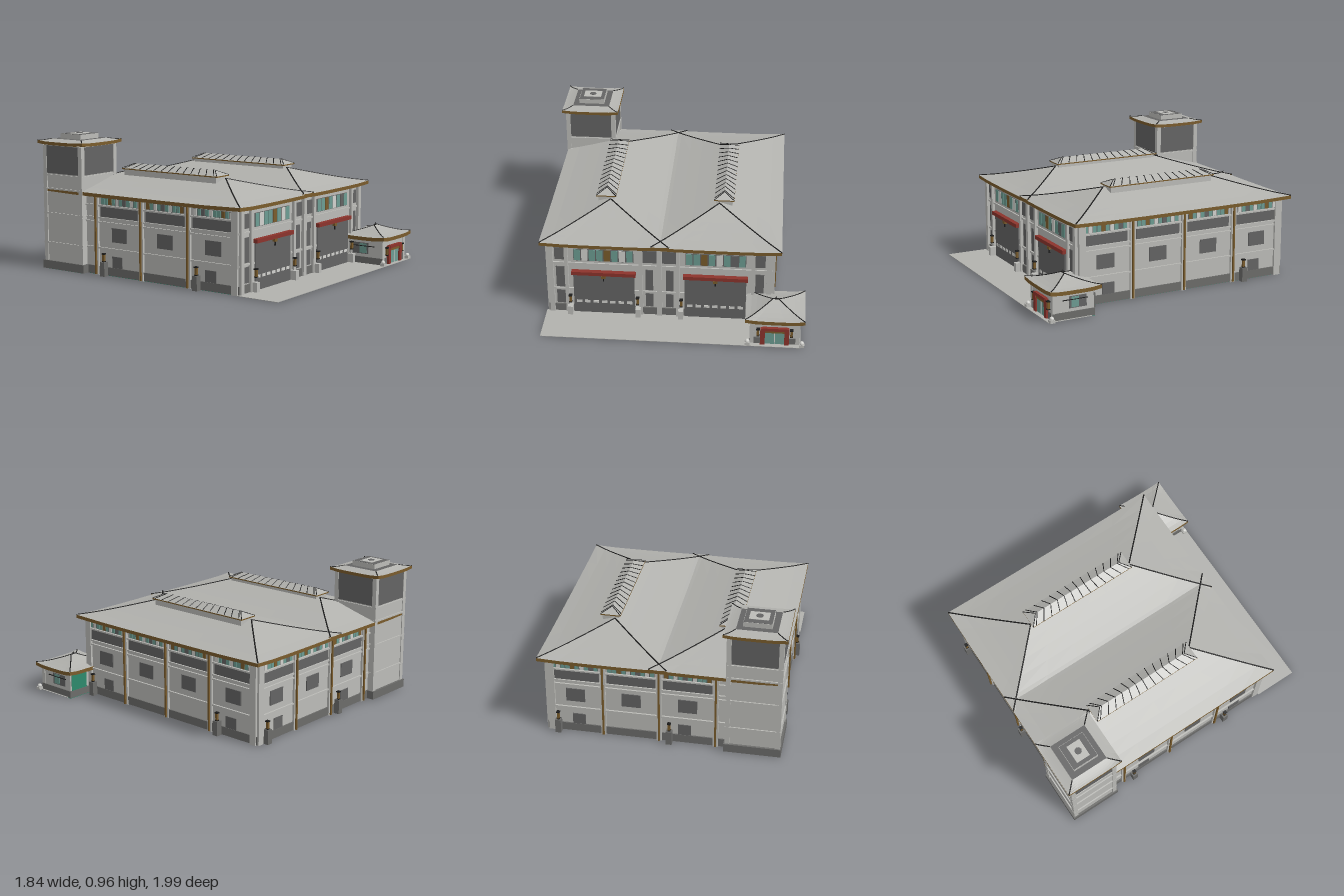
import * as THREE from 'three';

const M = {};
const COLORS = {
  wall: 0xbcbcb8, roofGrey: 0xb2b2ae, darkPanel: 0x646464, plinthGrey: 0x6c6c6a, bronze: 0x7a5c2c,
  red: 0x8c342c, glass: 0x6c9c92, green: 0x2e8a6c, black: 0x1c1c1c, pale: 0xd2d2ce,
};

function box(parent, name, mat, w, h, d, x, y, z) {
  const m = new THREE.Mesh(new THREE.BoxGeometry(w, h, d), M[mat]);
  m.name = name;
  m.position.set(x, y + h / 2, z); // y is the underside
  parent.add(m);
  return m;
}

function group(parent, name, x = 0, y = 0, z = 0, ry = 0) {
  const g = new THREE.Group();
  g.name = name;
  g.position.set(x, y, z);
  g.rotation.y = ry;
  parent.add(g);
  return g;
}

// Rectangular ring whose corners turn up by lift
function ring(hx, hz, y, lift = 0, n = 6) {
  const c = [[-1, 1], [1, 1], [1, -1], [-1, -1]], pts = [];
  for (let k = 0; k < 4; k++) {
    const a = c[k], b = c[(k + 1) % 4];
    for (let i = 0; i < n; i++) {
      const t = i / n, s = 2 * t - 1;
      pts.push(new THREE.Vector3((a[0] + (b[0] - a[0]) * t) * hx, y + lift * s ** 4, (a[1] + (b[1] - a[1]) * t) * hz));
    }
  }
  return pts;
}

function loft(parent, name, mat, rings) {
  const v = [];
  for (let r = 0; r + 1 < rings.length; r++) {
    const A = rings[r], B = rings[r + 1];
    for (let i = 0; i < A.length; i++) {
      const j = (i + 1) % A.length;
      for (const p of [A[i], A[j], B[j], A[i], B[j], B[i]]) v.push(p.x, p.y, p.z);
    }
  }
  const g = new THREE.BufferGeometry();
  g.setAttribute('position', new THREE.Float32BufferAttribute(v, 3));
  g.computeVertexNormals();
  const m = new THREE.Mesh(g, M[mat]);
  m.name = name;
  parent.add(m);
}

function line(parent, name, pts, r) {
  const path = new THREE.CatmullRomCurve3(pts);
  const m = new THREE.Mesh(new THREE.TubeGeometry(path, pts.length > 2 ? 10 : 1, r, 5), M.black);
  m.name = name;
  parent.add(m);
}

// Flared hip roof with bronze fascia and black hip ribs
function hipRoof(g, o) {
  const { hx, hz, rx, rz, y0, y1, edge, soffit, lift = 0, power = 1.2, rib = 0.005 } = o;
  const rings = [];
  for (let i = 0; i <= 5; i++) {
    const t = i / 5;
    rings.push(ring(hx + (rx - hx) * t, hz + (rz - hz) * t, y0 + (y1 - y0) * t ** power, lift * (1 - t) ** 3));
  }
  loft(g, 'roofTiles', 'roofGrey', rings);
  loft(g, 'roofFascia', 'bronze', [ring(hx - soffit, hz - soffit, y0 - edge), ring(hx, hz, y0 - edge, lift), rings[0]]);
  for (let k = 0; k < 4; k++) line(g, 'hipRib', rings.map(r => r[k * 6].clone()), rib);
}

function lamp(parent, x, z, y = 0.1) {
  const g = group(parent, 'lamp', x, y, z);
  box(g, 'lampBody', 'bronze', 0.016, 0.05, 0.016, 0, 0.004, 0);
  box(g, 'lampCap', 'black', 0.024, 0.008, 0.024, 0, 0.052, 0);
  box(g, 'lampFoot', 'black', 0.02, 0.006, 0.02, 0, 0, 0);
}

const PANES = ['glass', 'pale', 'glass', 'glass', 'bronze', 'glass', 'pale', 'glass', 'darkPanel'];
function paneStrip(g, x, y, w, h, z, n, shift = 0) {
  box(g, 'windowFrame', 'darkPanel', w, h, 0.006, x, y, z);
  const s = w / n;
  for (let i = 0; i < n; i++)
    box(g, 'windowPane', PANES[(i + shift) % PANES.length], s * 0.84, h * 0.94, 0.006, x - w / 2 + s * (i + 0.5), y + h * 0.03, z + 0.003);
}

// Bayed facade: local x runs along the wall, local +z faces outwards
function facade(g, length, skip, doors) {
  const s = length / 4;
  for (const y of [0.185, 0.365, 0.395, 0.48]) box(g, 'wallBand', 'wall', length, 0.011, 0.016, 0, y, 0.004);
  for (let i = 0; i <= 4; i++) {
    const x = -length / 2 + s * i, end = i % 4 === 0;
    box(g, 'pilaster', 'wall', end ? 0.05 : 0.035, 0.55, 0.024, x + (i === 0 ? 0.025 : i === 4 ? -0.025 : 0), 0, 0.004);
    if (!end) box(g, 'downpipe', 'bronze', 0.012, 0.545, 0.012, x, 0.005, 0.021);
  }
  for (let i = 0; i < 4; i++) {
    if (i === skip) continue;
    const x = -length / 2 + s * (i + 0.5);
    box(g, 'louvrePanel', 'darkPanel', 0.33, 0.07, 0.008, x, 0.408, 0.001);
    paneStrip(g, x, 0.495, 0.32, 0.045, 0.001, 10, i * 2);
    box(g, 'window', 'darkPanel', 0.13, 0.098, 0.009, x, 0.24, 0.002);
    if (doors.includes(i)) {
      const e = i === 0 ? 1 : -1;
      box(g, 'hatch', 'darkPanel', 0.088, 0.08, 0.009, x + 0.02 * e, 0.06, 0.002);
      box(g, 'lampPlinth', 'plinthGrey', 0.04, 0.1, 0.04, x - 0.12, 0, 0.03);
      lamp(g, x - 0.12, 0.03);
    }
  }
}

export function createModel() {
  for (const [name, c] of Object.entries(COLORS)) {
    M[name] = new THREE.MeshStandardMaterial({ color: c });
    M[name].name = name;
  }
  const root = new THREE.Group();
  root.name = 'station';
  const CX = -0.075, CZ = -0.115, W = 1.53, D = 1.59;

  // Ground slabs and floors
  box(root, 'apron', 'roofGrey', 1.76, 0.003, 0.31, 0.015, 0.003, 0.84);
  box(root, 'mainFloor', 'green', W, 0.004, D, CX, 0, CZ);
  box(root, 'annexFloor', 'green', 0.335, 0.003, 0.3, 0.718, 0, 0.81);

  // Main hall
  box(root, 'hallWalls', 'wall', W, 0.555, D, CX, 0.004, CZ);
  box(root, 'hallPlinth', 'plinthGrey', W + 0.018, 0.057, D + 0.018, CX, 0.004, CZ);
  facade(group(root, 'leftFacade', CX + W / 2, 0, CZ, Math.PI / 2), D, -1, [0, 3]);
  facade(group(root, 'rightFacade', CX - W / 2, 0, CZ, -Math.PI / 2), D, 0, [1, 3]);
  facade(group(root, 'backFacade', CX, 0, CZ - D / 2, Math.PI), W, 3, [0, 2]);

  // Front facade: mirrored engine bays
  const front = group(root, 'frontFacade', -0.078, 0, CZ + D / 2);
  for (const y of [0.185, 0.395]) box(front, 'frontBand', 'wall', W, 0.012, 0.016, 0, y, 0.002);
  box(front, 'centrePilaster', 'wall', 0.034, 0.55, 0.03, 0, 0, 0.008);
  for (const s of [-1, 1]) {
    const x = s * 0.382;
    box(front, 'bayDoor', 'darkPanel', 0.42, 0.32, 0.009, x, 0.005, 0.01);
    for (let i = 0; i < 7; i++) box(front, 'doorWindow', 'pale', 0.038, 0.02, 0.006, x + (i - 3) * 0.058, 0.087, 0.014);
    box(front, 'doorLintel', 'red', 0.44, 0.026, 0.04, x, 0.322, 0.015);
    box(front, 'lintelBell', 'bronze', 0.03, 0.02, 0.02, x, 0.303, 0.027);
    box(front, 'bellPull', 'black', 0.008, 0.03, 0.008, x, 0.277, 0.027);
    paneStrip(front, x, 0.425, 0.41, 0.092, 0.003, 8, s + 1);
    for (const e of [-1, 1]) {
      box(front, 'doorBollard', 'wall', 0.036, 0.07, 0.05, x + e * 0.235, 0, 0.03);
      box(front, 'doorJamb', 'wall', 0.024, 0.55, 0.026, x + e * 0.255, 0, 0.008);
      lamp(front, x + e * 0.232, 0.035);
    }
    box(front, 'cornerPilaster', 'wall', 0.035, 0.55, 0.026, s * 0.744, 0, 0.008);
    for (const [px, w, wTop] of [[0.07, 0.052, 0.104], [0.682, 0.058, 0.07]]) {
      box(front, 'upperPanel', 'darkPanel', wTop, 0.095, 0.008, s * px, 0.428, 0.002);
      box(front, 'middlePanel', 'darkPanel', w, 0.165, 0.008, s * px, 0.204, 0.002);
      box(front, 'lowerPanel', 'darkPanel', w, 0.105, 0.008, s * px, 0.07, 0.002);
    }
  }

  // Twin hip roofs with ridge lanterns
  for (const s of [-1, 1]) {
    const roof = group(root, 'hallRoof', CX + 0.003 + s * 0.378, 0, CZ - 0.002);
    hipRoof(roof, { hx: 0.44, hz: 0.843, rx: 0, rz: 0.415, y0: 0.573, y1: 0.69, edge: 0.024, soffit: 0.06, lift: 0.008, power: 1.12 });
    const lantern = group(roof, 'ridgeLantern', s * 0.032, 0, 0);
    box(lantern, 'lanternWalls', 'wall', 0.115, 0.06, 0.8, 0, 0.646, 0);
    hipRoof(lantern, { hx: 0.07, hz: 0.415, rx: 0, rz: 0.35, y0: 0.713, y1: 0.745, edge: 0.008, soffit: 0.02, power: 1.05, rib: 0.003 });
    for (let i = -6; i <= 6; i++) for (const e of [-1, 1])
      line(lantern, 'lanternRib', [new THREE.Vector3(e * 0.07, 0.714, i * 0.065), new THREE.Vector3(0, 0.746, i * 0.056)], 0.003);
  }

  // Hose tower
  const tower = group(root, 'tower', -0.71, 0, -0.783);
  box(tower, 'towerFloor', 'green', 0.36, 0.004, 0.35, 0, 0, 0);
  box(tower, 'towerWalls', 'wall', 0.355, 0.88, 0.345, 0, 0.004, 0);
  box(tower, 'towerPlinth', 'plinthGrey', 0.385, 0.058, 0.378, 0, 0.004, 0);
  for (const y of [0.185, 0.395, 0.57, 0.665]) box(tower, 'towerBand', 'wall', 0.372, 0.012, 0.362, 0, y, 0);
  for (const a of [-1, 1]) for (const b of [-1, 1])
    box(tower, 'towerCorner', 'wall', 0.032, 0.88, 0.032, a * 0.169, 0.004, b * 0.163);
  for (let k = 0; k < 4; k++) {
    const side = group(tower, 'towerSide', 0, 0, 0, k * Math.PI / 2);
    box(side, 'towerPanel', 'darkPanel', 0.305, 0.195, 0.009, 0, 0.685, k % 2 ? 0.178 : 0.173);
  }
  hipRoof(tower, { hx: 0.208, hz: 0.208, rx: 0.135, rz: 0.135, y0: 0.908, y1: 0.924, edge: 0.022, soffit: 0.035, lift: 0.008, power: 1.3, rib: 0.004 });
  box(tower, 'towerDeck', 'darkPanel', 0.27, 0.01, 0.27, 0, 0.914, 0);
  box(tower, 'roofUnit', 'wall', 0.188, 0.036, 0.188, 0, 0.922, 0);
  box(tower, 'roofUnitTop', 'darkPanel', 0.184, 0.002, 0.184, 0, 0.957, 0);
  box(tower, 'ventPlate', 'wall', 0.13, 0.003, 0.1, 0, 0.958, 0);
  const vent = new THREE.Mesh(new THREE.CylinderGeometry(0.025, 0.025, 0.004, 8), M.darkPanel);
  vent.name = 'vent';
  vent.position.y = 0.961;
  tower.add(vent);

  // Entrance pavilion
  const annex = group(root, 'entrance', 0.718, 0, 0.81);
  box(annex, 'entranceWalls', 'wall', 0.325, 0.18, 0.29, 0, 0.003, 0);
  box(annex, 'entrancePlinth', 'plinthGrey', 0.337, 0.05, 0.302, 0, 0.003, 0);
  box(annex, 'backGlazing', 'green', 0.14, 0.13, 0.008, 0.08, 0.052, -0.145);
  for (const a of [-1, 1]) {
    box(annex, 'entrancePier', 'wall', 0.028, 0.18, 0.028, a * 0.154, 0.003, 0.137);
    box(annex, 'sideWindow', 'darkPanel', 0.008, 0.08, 0.125, a * 0.162, 0.075, -0.03);
    box(annex, 'sidePane', 'glass', 0.008, 0.07, 0.055, a * 0.164, 0.08, -0.01);
    box(annex, 'windowBar', 'black', 0.006, 0.005, 0.18, a * 0.166, 0.13, -0.01);
    box(annex, 'doorPost', 'red', 0.032, 0.13, 0.03, a * 0.081, 0.006, 0.15);
    lamp(annex, a * 0.112, 0.155, 0.07);
    const guard = group(annex, 'guardianStatue', a * 0.183, 0, 0.165);
    box(guard, 'statueBase', 'wall', 0.034, 0.02, 0.034, 0, 0.004, 0);
    const body = new THREE.Mesh(new THREE.SphereGeometry(0.016, 8, 6), M.pale);
    body.name = 'statueBody';
    body.position.y = 0.03;
    guard.add(body);
  }
  box(annex, 'doorHead', 'red', 0.165, 0.022, 0.034, 0, 0.118, 0.15);
  box(annex, 'doorSign', 'bronze', 0.13, 0.018, 0.012, 0, 0.1, 0.155);
  box(annex, 'entranceDoor', 'glass', 0.13, 0.096, 0.008, 0, 0.006, 0.149);
  box(annex, 'doorMullion', 'pale', 0.006, 0.096, 0.006, 0, 0.006, 0.153);
  const cap = group(annex, 'entranceRoof', 0, 0, -0.004);
  hipRoof(cap, { hx: 0.2, hz: 0.182, rx: 0.02, rz: 0, y0: 0.204, y1: 0.265, edge: 0.026, soffit: 0.05, lift: 0.01, power: 1.3, rib: 0.004 });
  line(cap, 'ridgeRib', [new THREE.Vector3(-0.022, 0.266, 0), new THREE.Vector3(0.022, 0.266, 0)], 0.005);
  const finial = new THREE.Mesh(new THREE.ConeGeometry(0.008, 0.022, 6), M.black);
  finial.name = 'finial';
  finial.position.y = 0.277;
  cap.add(finial);
  return root;
}
